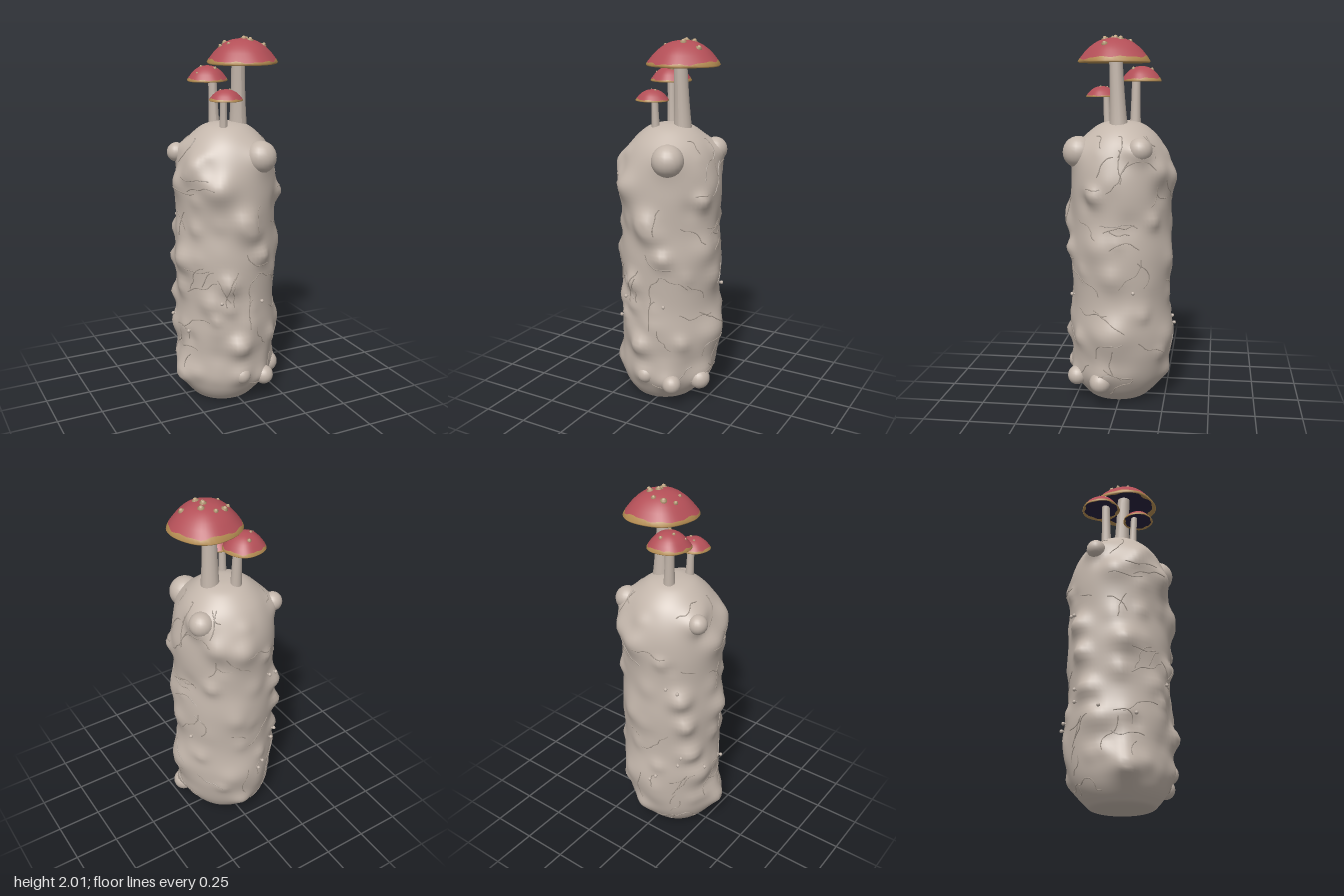
import * as THREE from 'three';
import { mergeVertices } from 'three/addons/utils/BufferGeometryUtils.js';

const mat = (name, color, extra = {}) => Object.assign(new THREE.MeshStandardMaterial({ color, ...extra }), { name });
const V2 = (p) => new THREE.Vector2(p[0], p[1]);

function seeded(seed) {
  return () => {
    seed = (seed * 16807) % 2147483647;
    return seed / 2147483647;
  };
}

// Weld the seam of a lathe so that smooth normals run all the way round
function weld(geo) {
  geo.deleteAttribute('uv');
  geo.deleteAttribute('normal');
  const g = mergeVertices(geo, 1e-5);
  g.computeVertexNormals();
  return g;
}

// Trunk outline, from the flat foot to the domed top
const PROFILE = new THREE.SplineCurve([
  [0, 0], [0.14, 0], [0.19, 0.03], [0.238, 0.1], [0.265, 0.2], [0.278, 0.4], [0.268, 0.58], [0.279, 0.82],
  [0.27, 1.0], [0.277, 1.2], [0.262, 1.34], [0.215, 1.45], [0.14, 1.525], [0.07, 1.552], [0, 1.557],
].map(V2)).getPoints(110);

function radiusAt(y) {
  const i = Math.max(1, PROFILE.findIndex((p, k) => k > 9 && p.y >= y));
  const a = PROFILE[i - 1], b = PROFILE[i];
  return a.x + (b.x - a.x) * (y - a.y) / Math.max(1e-6, b.y - a.y);
}

// Soft swellings: x, y, z, size, height
const SWELLINGS = [
  [-0.15, 1.24, 0.24, 0.08, 0.045], [-0.1, 0.71, 0.27, 0.05, 0.04], [-0.28, 0.83, 0.05, 0.07, 0.04],
  [0.28, 0.43, 0, 0.1, 0.035], [-0.04, 0.36, 0.27, 0.06, 0.055], [-0.2, 0.95, -0.2, 0.06, 0.05],
  [-0.22, 0.78, -0.18, 0.05, 0.045], [-0.27, 1.25, 0, 0.07, 0.03], [0.05, 1.27, -0.28, 0.08, 0.04],
  [0, 1.04, 0.28, 0.08, 0.03], [0.27, 0.9, 0.1, 0.08, 0.025], [-0.27, 0.16, 0.04, 0.08, 0.04],
  [0.1, 1.39, 0.22, 0.08, 0.04], [0.21, 1.41, -0.12, 0.07, 0.05], [-0.22, 1.39, -0.11, 0.06, 0.04],
  [-0.2, 1.36, 0.12, 0.06, 0.04], [-0.02, 0.18, 0.27, 0.06, 0.03], [0.12, 0.14, 0.24, 0.06, 0.03],
  [0.23, 0.14, 0.09, 0.06, 0.02], [-0.18, 0.6, 0.2, 0.06, 0.03], [0.02, 0.38, -0.28, 0.1, 0.015],
];
const rnd = seeded(4217);
for (let i = 0; i < 110; i++) {
  const a = rnd() * Math.PI * 2, y = 0.1 + rnd() * 1.36;
  SWELLINGS.push([0.27 * Math.sin(a), y, 0.27 * Math.cos(a), 0.03 + rnd() * 0.04, (rnd() - 0.34) * 0.036]);
}

// Point on the lumpy trunk surface at angle a and height y
function trunkPoint(a, y, r = radiusAt(y), lift = 0) {
  const s = Math.sin(a), c = Math.cos(a);
  let bump = 0;
  for (const [x, by, z, size, height] of SWELLINGS) {
    const d2 = (r * s - x) ** 2 + (y - by) ** 2 + (r * c - z) ** 2;
    bump += height * Math.exp(-d2 / (size * size));
  }
  const k = r + Math.max(-0.02, Math.min(0.045, bump)) * Math.min(1, r / 0.2) + lift;
  const foot = Math.max(0, 1 - y / 0.3);
  return new THREE.Vector3(k * s - 0.03 * foot, y, k * c + 0.02 * foot);
}

function makeTrunk(material) {
  const geo = new THREE.LatheGeometry(PROFILE, 84);
  const p = geo.attributes.position;
  for (let i = 0; i < p.count; i++) {
    const r = Math.hypot(p.getX(i), p.getZ(i));
    const v = trunkPoint(Math.atan2(p.getX(i), p.getZ(i)), p.getY(i), r);
    p.setXYZ(i, v.x, v.y, v.z);
  }
  const mesh = new THREE.Mesh(weld(geo), material);
  mesh.name = 'trunk';
  return mesh;
}

// One mushroom: bent stem, gills, ragged tan rim, red dome and warts
function makeMushroom(m, { name, x, y, z, R, h, stem, base, worn, warts }) {
  const group = new THREE.Group();
  group.name = name;
  const dome = (t) => [R * (1 - t), h * (1 - (1 - t) ** 2.4)];
  const patch = (a, centre) => Math.max(0, Math.cos(a - centre)) ** 4;
  const outerEdge = (a) => dome(0.025 + 0.06 * patch(a, worn) + 0.045 * patch(a, worn - 1.4) + 0.03 * patch(a, worn + 1.5)
    + 0.012 * Math.sin(7 * a) + 0.01 * Math.sin(13 * a + worn));
  const innerEdge = (a) => [R * (0.87 + 0.035 * Math.sin(6 * a + worn) + 0.025 * Math.sin(11 * a)), 0.04 * h];
  const wobble = (a) => 1 + 0.02 * Math.sin(2 * a + worn) + 0.02 * Math.sin(5 * a + 1);

  const addPart = (partName, geo, material) => {
    const mesh = new THREE.Mesh(geo, material);
    mesh.name = partName;
    group.add(mesh);
    return mesh;
  };
  const capPart = (partName, pts, material, ragged) => {
    const geo = new THREE.LatheGeometry(pts.map(V2), 48);
    const p = geo.attributes.position;
    for (let i = 0; i < p.count; i++) {
      const a = Math.atan2(p.getX(i), p.getZ(i)), edge = ragged[i % pts.length];
      const [r, py] = edge ? edge(a) : [Math.hypot(p.getX(i), p.getZ(i)), p.getY(i)];
      const k = r * wobble(a);
      p.setXYZ(i, k * Math.sin(a), py, k * Math.cos(a));
    }
    addPart(partName, weld(geo), material).position.set(x, y, z);
  };
  capPart('gills', [[0, 0.4 * h], [0.4 * R, 0.34 * h], [0.7 * R, 0.17 * h], [0.87 * R, 0.04 * h]], m.gills, { 3: innerEdge });
  capPart('capRim', [[0.87 * R, 0.04 * h], [0.97 * R, -0.08 * h], [R, -0.02 * h], dome(0.1)], m.rim, { 0: innerEdge, 3: outerEdge });
  capPart('cap', [0.1, 0.2, 0.32, 0.45, 0.58, 0.7, 0.85, 1].map(dome), m.cap, { 0: outerEdge });

  // Stem with a flared foot, sheared towards the middle of the cap
  const top = y + 0.42 * h, low = 1.46, len = top - low;
  const sg = new THREE.CylinderGeometry(stem * 0.85, stem, len, 14, 10);
  const p = sg.attributes.position;
  for (let i = 0; i < p.count; i++) {
    const t = p.getY(i) / len + 0.5, flare = 1 + 0.35 * (1 - t) ** 3;
    p.setX(i, p.getX(i) * flare + base[0] + (base[2] - base[0]) * t);
    p.setZ(i, p.getZ(i) * flare + base[1] + (base[3] - base[1]) * t);
  }
  sg.computeVertexNormals();
  addPart('stem', sg, m.stem).position.y = (top + low) / 2;

  // Warts: a low collar with a paler knob on it
  for (const [wx, wz, wr] of warts) {
    const k = Math.min(0.98, Math.hypot(wx - x, wz - z) / R);
    const collar = [[wr, -0.6 * wr], [wr, 0.1 * wr], [0.55 * wr, 0.3 * wr]];
    const knob = [[0.55 * wr, 0.3 * wr], [0.45 * wr, 0.6 * wr], [0, 0.75 * wr]];
    for (const [partName, pts, material] of [['wartCollar', collar, m.wart], ['wartKnob', knob, m.knob]]) {
      const wart = addPart(partName, new THREE.LatheGeometry(pts.map(V2), 8), material);
      wart.position.set(wx, y + h * (1 - k ** 2.4), wz);
      wart.rotation.set(0.8 * (wz - z) / R, 0, -0.8 * (wx - x) / R);
    }
  }
  return group;
}

export function createModel() {
  const m = {
    trunk: mat('pale bark', 0xc4b7ac), stem: mat('stem', 0xc2b5aa), vein: mat('root', 0xa99d92),
    cap: mat('red cap', 0xb34f57), rim: mat('tan rim', 0xb58d52),
    gills: mat('dark gills', 0x27223e, { side: THREE.DoubleSide }),
    wart: mat('wart', 0xa98f6a), knob: mat('wart knob', 0xc0a684),
  };
  const model = new THREE.Group();
  model.name = 'mushroomTrunk';
  model.add(makeTrunk(m.trunk));

  // Round burls half sunk in the bark: x, y, z, radius
  [[0.1, 1.39, 0.222, 0.086], [0.205, 1.41, -0.12, 0.066], [-0.24, 1.39, -0.11, 0.052], [0.228, 0.14, 0.09, 0.06],
    [-0.02, 0.18, 0.255, 0.052], [0.13, 0.14, 0.235, 0.053],
  ].forEach(([x, y, z, r]) => {
    const burl = new THREE.Mesh(new THREE.SphereGeometry(r, 20, 14), m.trunk);
    burl.name = 'burl';
    burl.position.set(x, y, z);
    model.add(burl);
  });

  // Thin roots creeping over the bark
  const r = seeded(991);
  for (let i = 0; i < 70; i++) {
    let a = r() * Math.PI * 2, y = 0.1 + r() * 1.34;
    let dir = (r() - 0.5) * 2.4 + (r() < 0.5 ? Math.PI : 0);
    const pts = [], n = 4 + Math.floor(r() * 5);
    for (let k = 0; k < n; k++) {
      pts.push(trunkPoint(a, y, radiusAt(y), 0.0005));
      dir += (r() - 0.5) * 1.3;
      a += Math.cos(dir) * 0.11;
      y = Math.min(1.48, Math.max(0.06, y + Math.sin(dir) * 0.03));
    }
    const root = new THREE.Mesh(new THREE.TubeGeometry(new THREE.CatmullRomCurve3(pts), n * 4, 0.003, 5), m.vein);
    root.name = 'root';
    model.add(root);
  }

  // Tiny buds on short stalks: angle from the front, height
  [[3.65, 1.03], [3.86, 1.01], [3.93, 0.58], [3.88, 0.52], [3.45, 0.44], [3.33, 0.41], [4.43, 0.47],
    [1.9, 0.66], [0.35, 0.6], [-0.5, 0.62], [-1.2, 0.43]].forEach(([a, y]) => {
    const from = trunkPoint(a, y, radiusAt(y), -0.01), to = trunkPoint(a, y, radiusAt(y), 0.014);
    const stalk = new THREE.Mesh(new THREE.TubeGeometry(new THREE.LineCurve3(from, to), 1, 0.004, 6), m.stem);
    const bud = new THREE.Mesh(new THREE.SphereGeometry(0.01, 8, 6), m.stem);
    stalk.name = 'budStalk';
    bud.name = 'bud';
    bud.position.copy(to);
    model.add(stalk, bud);
  });

  model.add(
    makeMushroom(m, {
      name: 'largeMushroom', x: 0.088, y: 1.87, z: 0.026, R: 0.192, h: 0.12, stem: 0.042,
      base: [0.075, 0.005, 0.065, 0.025], worn: 3.0,
      warts: [[0.02, -0.045, 0.018], [0.075, -0.055, 0.013], [0.13, -0.01, 0.018], [0.1, 0.02, 0.018],
        [0.095, 0.036, 0.012], [0.11, 0.075, 0.018], [0.195, 0.065, 0.017], [-0.025, -0.005, 0.012], [-0.005, 0.055, 0.011]],
    }),
    makeMushroom(m, {
      name: 'middleMushroom', x: -0.057, y: 1.77, z: -0.103, R: 0.111, h: 0.076, stem: 0.027,
      base: [-0.03, -0.07, -0.04, -0.075], worn: -3.0,
      warts: [[-0.047, -0.16, 0.011], [-0.13, -0.07, 0.008], [-0.03, -0.06, 0.011], [-0.09, -0.11, 0.009]],
    }),
    makeMushroom(m, {
      name: 'smallMushroom', x: -0.05, y: 1.685, z: 0.115, R: 0.088, h: 0.054, stem: 0.021,
      base: [-0.048, 0.08, -0.052, 0.092], worn: -1.4,
      warts: [[-0.03, 0.12, 0.008], [-0.07, 0.09, 0.007]],
    }),
  );
  return model;
}
